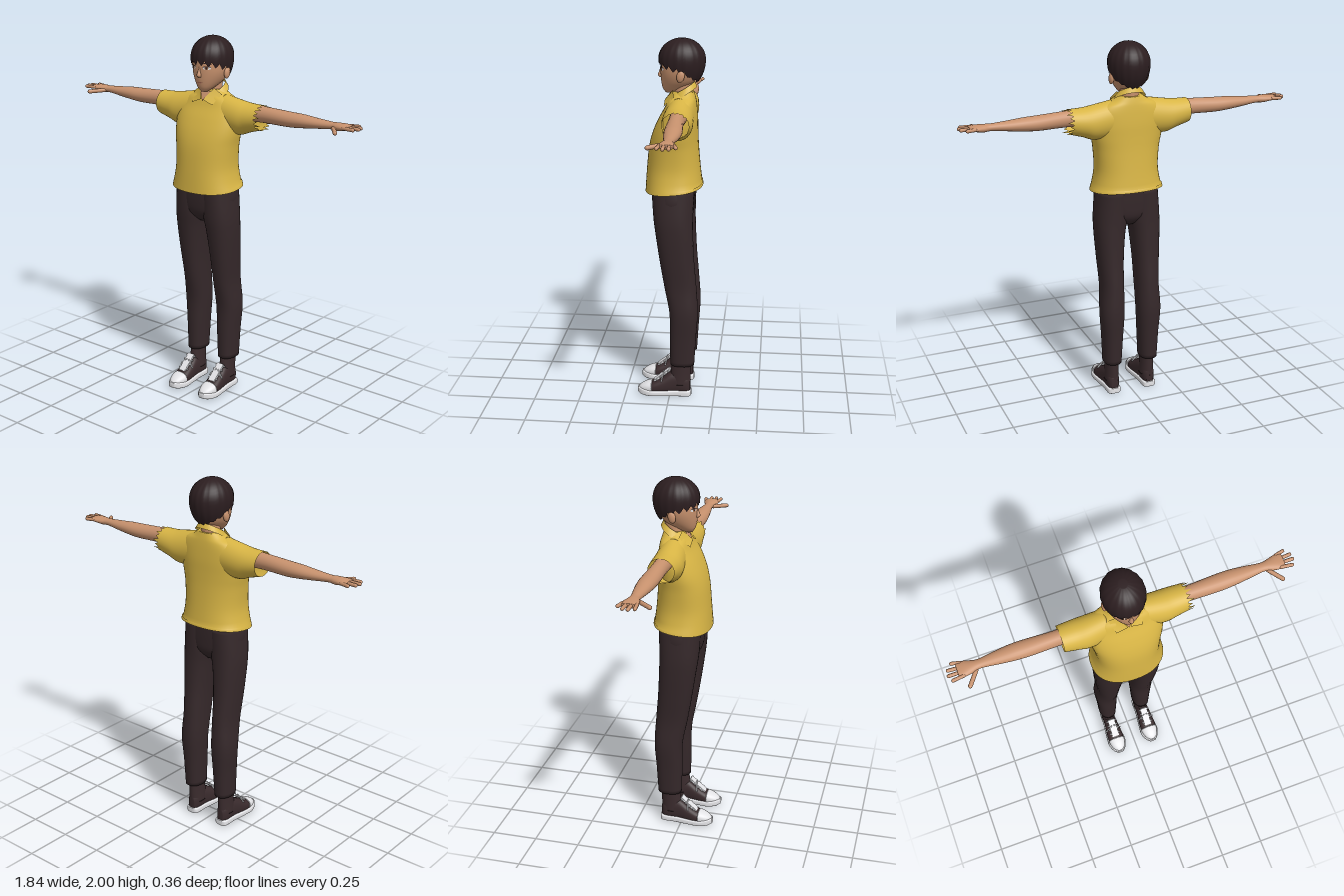
import * as THREE from 'three';

const mat = (name, color, side = THREE.FrontSide) => {
  const m = new THREE.MeshStandardMaterial({ color, side });
  m.name = name;
  return m;
};

// Catmull-Rom refinement of cross-section rows
function refine(rows, k) {
  const out = [], at = i => rows[Math.min(rows.length - 1, Math.max(0, i))];
  for (let i = 0; i < rows.length - 1; i++)
    for (let s = 0; s < k; s++) {
      const t = s / k, [a, b, c, d] = [at(i - 1), at(i), at(i + 1), at(i + 2)];
      out.push(b.map((_, j) => 0.5 * (2 * b[j] + (c[j] - a[j]) * t + (2 * a[j] - 5 * b[j] + 4 * c[j] - d[j]) * t * t
        + (3 * b[j] - a[j] - 3 * c[j] + d[j]) * t * t * t)));
    }
  out.push(rows[rows.length - 1]);
  return out;
}

// Stacked rings of points joined into a surface, with optional end caps
function skin(rings, capA, capB) {
  const n = rings[0].length, pos = rings.flat(2), idx = [];
  for (let r = 0; r < rings.length - 1; r++)
    for (let i = 0; i < n; i++) {
      const a = r * n + i, b = r * n + (i + 1) % n;
      idx.push(a, b, b + n, a, b + n, a + n);
    }
  const cap = (ring, base, flip) => {
    const c = pos.length / 3;
    pos.push(...[0, 1, 2].map(j => ring.reduce((s, p) => s + p[j], 0) / n));
    for (let i = 0; i < n; i++) {
      const a = base + i, b = base + (i + 1) % n;
      idx.push(...(flip ? [c, b, a] : [c, a, b]));
    }
  };
  if (capA) cap(rings[0], 0, true);
  if (capB) cap(rings[rings.length - 1], (rings.length - 1) * n, false);
  const g = new THREE.BufferGeometry();
  g.setAttribute('position', new THREE.Float32BufferAttribute(pos, 3));
  g.setIndex(idx);
  g.computeVertexNormals();
  return g;
}

// Loft along an axis; rows are [t, u0, u1, v0, v1], (u, v) the next two axes in cyclic order
function loft(axis, rows, { n = 32, p = 2, capA = true, capB = true, edit } = {}) {
  const k = { x: 0, y: 1, z: 2 }[axis], all = refine(rows, 5);
  const pw = c => Math.sign(c) * Math.abs(c) ** (2 / p);
  return skin(all.map(([t, u0, u1, v0, v1], r) => Array.from({ length: n }, (_, i) => {
    const a = i / n * Math.PI * 2, q = [0, 0, 0];
    q[k] = t;
    q[(k + 1) % 3] = (u0 + u1) / 2 + (u1 - u0) / 2 * pw(Math.cos(a));
    q[(k + 2) % 3] = (v0 + v1) / 2 + (v1 - v0) / 2 * pw(Math.sin(a));
    if (edit) edit(q, r, i, all.length - 1);
    return q;
  })), capA, capB);
}

function rod(a, b, r) {
  const A = new THREE.Vector3(...a), B = new THREE.Vector3(...b), d = B.clone().sub(A);
  const q = new THREE.Quaternion().setFromUnitVectors(new THREE.Vector3(0, 1, 0), d.clone().normalize());
  const m = A.add(B).multiplyScalar(0.5);
  return new THREE.CapsuleGeometry(r, d.length(), 4, 10).applyQuaternion(q).translate(m.x, m.y, m.z);
}

function mirror(g) {
  const m = g.clone().scale(-1, 1, 1), ix = m.index.array;
  for (let i = 0; i < ix.length; i += 3) [ix[i], ix[i + 1]] = [ix[i + 1], ix[i]];
  return m;
}

export function createModel() {
  const M = {
    shirt: mat('yellow shirt', 0xd8b545, THREE.DoubleSide),
    trousers: mat('dark trousers', 0x35282a),
    hair: mat('dark hair', 0x2c1e20, THREE.DoubleSide),
    skin: mat('skin', 0xc8926e),
    white: mat('white', 0xe9e9ec),
    canvas: mat('shoe canvas', 0x3a2b2d),
    iris: mat('brown iris', 0x8a5630),
    lips: mat('lips', 0xa56a55),
  };
  const model = new THREE.Group();
  model.name = 'standingYouth';
  const add = (name, g, m) => {
    const mesh = new THREE.Mesh(g, m);
    mesh.name = name;
    model.add(mesh);
  };
  const pair = (name, g, m) => {
    add(name + 'Left', g, m);
    add(name + 'Right', mirror(g), m);
  };
  const sym = rows => rows.map(([y, b, f, w]) => [y, b, f, -w, w]);

  // Shirt body, hem slightly raised at the back
  add('shirtBody', loft('y', sym([
    [1.18, -0.172, 0.14, 0.2], [1.3, -0.157, 0.132, 0.174], [1.42, -0.146, 0.12, 0.18], [1.5, -0.142, 0.1, 0.194],
    [1.57, -0.14, 0.07, 0.2], [1.63, -0.135, 0.037, 0.19], [1.67, -0.13, 0.02, 0.155],
    [1.695, -0.125, 0.005, 0.1], [1.72, -0.118, -0.01, 0.065]]),
  { n: 48, p: 2.3, capA: false, edit: (q, r) => { if (r < 2) q[1] += 0.03 * (0.14 - q[2]) / 0.31; } }), M.shirt);

  // Sleeves; the left one has a torn edge
  const sleeve = [[0.09, 1.5, 1.698, -0.125, 0.025], [0.2, 1.495, 1.678, -0.13, 0.033],
    [0.26, 1.515, 1.67, -0.128, 0.028], [0.335, 1.537, 1.668, -0.12, 0.02]];
  const torn = (q, r, i, last) => { if (r === last) q[0] += [0.025, -0.02, 0.012, -0.012][i % 4]; };
  add('sleeveLeft', loft('x', sleeve, { n: 36, capB: false, edit: torn }), M.shirt);
  add('sleeveRight', mirror(loft('x', sleeve, { n: 36, capB: false })), M.shirt);

  // Collar band, collar flaps and open neckline
  add('collar', loft('y', sym([[1.7, -0.135, 0.03, 0.092], [1.735, -0.122, 0, 0.066]]),
    { capA: false, capB: false, edit: q => { q[1] -= (q[2] + 0.06) * 0.6; } }), M.shirt);
  const plate = (pts, ix) => {
    const g = new THREE.BufferGeometry();
    g.setAttribute('position', new THREE.Float32BufferAttribute(pts.flat(), 3));
    g.setIndex(ix);
    g.computeVertexNormals();
    return g;
  };
  pair('collarFlap', plate([[0.006, 1.672, 0.036], [0.068, 1.648, 0.036], [0.092, 1.7, -0.02], [0.048, 1.73, -0.01]],
    [0, 1, 2, 0, 2, 3]), M.shirt);
  add('neckline', plate([[0, 1.66, 0.033], [0.036, 1.715, 0.004], [-0.036, 1.715, 0.004]], [0, 1, 2]), M.skin);

  // Trousers
  add('hips', loft('y', sym([[1.0, -0.08, 0.04, 0.035], [1.05, -0.118, 0.083, 0.13], [1.12, -0.127, 0.096, 0.176],
    [1.22, -0.13, 0.1, 0.168]]), { p: 2.3 }), M.trousers);
  pair('trouserLeg', loft('y', [
    [0.19, -0.137, -0.003, 0.058, 0.158], [0.35, -0.146, 0, 0.05, 0.165], [0.5, -0.155, 0.002, 0.042, 0.175],
    [0.65, -0.146, 0.03, 0.04, 0.167], [0.8, -0.133, 0.055, 0.035, 0.175], [0.95, -0.126, 0.077, 0.021, 0.183],
    [1.05, -0.125, 0.09, 0.004, 0.183], [1.2, -0.13, 0.1, 0, 0.17]], { p: 2.3 }), M.trousers);

  // Arms, hands and fingers
  pair('arm', loft('x', [
    [0.2, 1.572, 1.668, -0.1, -0.01], [0.35, 1.578, 1.663, -0.094, -0.013], [0.5, 1.577, 1.656, -0.103, -0.012],
    [0.58, 1.583, 1.653, -0.103, -0.015], [0.66, 1.592, 1.646, -0.095, -0.023], [0.75, 1.602, 1.64, -0.083, -0.033],
    [0.79, 1.6, 1.641, -0.09, -0.024], [0.83, 1.607, 1.64, -0.1, -0.016], [0.865, 1.613, 1.635, -0.1, -0.016]],
  { n: 24 }), M.skin);
  [[-0.094, -0.104, 0.882], [-0.07, -0.074, 0.908], [-0.046, -0.046, 0.912], [-0.023, -0.016, 0.898]].forEach(([z0, z1, x], i) =>
    pair('finger' + (i + 1), rod([0.84, 1.625, z0], [x, 1.625, z1], 0.0095), M.skin));
  pair('thumb', rod([0.775, 1.614, -0.035], [0.828, 1.61, 0.034], 0.0115), M.skin);

  // Head and neck
  add('neck', loft('y', sym([[1.66, -0.118, -0.01, 0.056], [1.72, -0.113, -0.01, 0.05], [1.8, -0.12, -0.01, 0.05]])), M.skin);
  const headRows = sym([[1.712, -0.01, 0.032, 0.018], [1.735, -0.06, 0.047, 0.045], [1.77, -0.12, 0.055, 0.073],
    [1.81, -0.143, 0.058, 0.091], [1.85, -0.155, 0.058, 0.098], [1.9, -0.16, 0.055, 0.098],
    [1.95, -0.14, 0.03, 0.08], [1.98, -0.1, 0, 0.04]]);
  add('head', loft('y', headRows, { n: 40 }), M.skin);
  add('nose', loft('y', sym([[1.793, 0.04, 0.066, 0.011], [1.803, 0.04, 0.074, 0.013], [1.825, 0.04, 0.066, 0.008],
    [1.85, 0.04, 0.058, 0.005]]), { n: 14 }), M.skin);
  pair('ear', new THREE.SphereGeometry(1, 16, 12).scale(0.013, 0.032, 0.021).rotateX(-0.2).translate(0.098, 1.812, -0.055), M.skin);

  // Face details wrapped onto the head surface
  const fine = refine(headRows, 5);
  const faceZ = (x, y) => {
    const i = Math.max(1, fine.findIndex(r => r[0] >= y)), [a, b] = [fine[i - 1], fine[i]];
    const t = (y - a[0]) / (b[0] - a[0]), [, zb, zf, , w] = a.map((v, j) => v + (b[j] - v) * t);
    return (zb + zf) / 2 + (zf - zb) / 2 * Math.sqrt(Math.max(0, 1 - (x / w) ** 2));
  };
  const decal = (x, y, rx, ry, lift, bend = 0) => {
    const g = new THREE.CircleGeometry(1, 24), p = g.attributes.position;
    for (let i = 0; i < p.count; i++) {
      const px = x + p.getX(i) * rx, py = y + p.getY(i) * ry - bend * p.getX(i) ** 2;
      p.setXYZ(i, px, py, faceZ(px, py) + lift);
    }
    g.computeVertexNormals();
    return g;
  };
  pair('eyeWhite', decal(0.043, 1.842, 0.019, 0.008, 0.002), M.white);
  pair('iris', decal(0.043, 1.842, 0.0085, 0.0085, 0.0035), M.iris);
  pair('pupil', decal(0.043, 1.842, 0.004, 0.005, 0.005), M.hair);
  pair('upperLash', decal(0.044, 1.851, 0.021, 0.0028, 0.005, 0.004), M.hair);
  pair('eyebrow', decal(0.045, 1.868, 0.022, 0.003, 0.004, 0.004), M.hair);
  add('mouth', decal(0, 1.764, 0.019, 0.0035, 0.003), M.lips);

  // Hair cap with a jagged fringe, longer at the nape
  const cols = 72, steps = 14;
  add('hair', skin(Array.from({ length: steps + 1 }, (_, s) => Array.from({ length: cols }, (_, i) => {
    const a = i / cols * Math.PI * 2, c = Math.cos(a), jag = [0.014, 0, -0.014, -0.003][i % 4];
    const low = 1.833 + (c > 0 ? 0.035 * c : 0.063 * c) + jag * (c > -0.3 ? 1 : 0.4);
    const y = low + (1.998 - low) * Math.sin(s / steps * Math.PI / 2), d = y - 1.89;
    const f = Math.sqrt(1 - (d / (d > 0 ? 0.11 : 0.165)) ** 2) * (1 + 0.012 * Math.cos(a * 18));
    return [0.11 * f * Math.sin(a), y, -0.055 + 0.124 * f * c];
  })), false, true), M.hair);

  // Shoes: sole, canvas upper, ankle, toe cap, tongue and laces
  pair('shoeSole', loft('z', [
    [-0.122, 0.088, 0.126, 0.004, 0.034], [-0.105, 0.07, 0.145, 0, 0.036], [-0.03, 0.068, 0.148, 0, 0.036],
    [0.05, 0.058, 0.158, 0, 0.034], [0.11, 0.053, 0.162, 0, 0.036], [0.155, 0.068, 0.147, 0.003, 0.042],
    [0.18, 0.09, 0.125, 0.012, 0.042]], { p: 5 }), M.white);
  pair('shoeUpper', loft('z', [
    [-0.116, 0.088, 0.126, 0.02, 0.1], [-0.09, 0.073, 0.142, 0.01, 0.13], [-0.02, 0.07, 0.145, 0.01, 0.14],
    [0.04, 0.063, 0.152, 0.01, 0.107], [0.09, 0.06, 0.155, 0.01, 0.082], [0.12, 0.068, 0.148, 0.01, 0.07]],
  { p: 2.4 }), M.canvas);
  pair('shoeAnkle', loft('y', [[0.07, -0.116, 0, 0.068, 0.146], [0.14, -0.118, -0.006, 0.07, 0.144],
    [0.22, -0.12, -0.018, 0.07, 0.144]]), M.canvas);
  pair('toeCap', loft('z', [[0.1, 0.058, 0.157, 0.008, 0.081], [0.13, 0.064, 0.151, 0.01, 0.072],
    [0.158, 0.077, 0.138, 0.012, 0.058], [0.174, 0.094, 0.121, 0.02, 0.044]], { p: 2.4 }), M.white);
  pair('shoeTongue', new THREE.BoxGeometry(0.042, 0.012, 0.115).rotateX(0.69).translate(0.107, 0.118, 0.043), M.white);
  for (let i = 0; i < 4; i++) {
    const y = 0.1 + i * 0.018, z = 0.078 - i * 0.022;
    pair('lace' + (i + 1), rod([0.079, y - 0.006, z - 0.006], [0.135, y - 0.006, z - 0.006], 0.005), M.white);
  }
  pair('laceEndOuter', rod([0.115, 0.135, 0.035], [0.15, 0.095, 0.045], 0.004), M.white);
  pair('laceEndInner', rod([0.099, 0.135, 0.035], [0.064, 0.095, 0.045], 0.004), M.white);

  return model;
}
